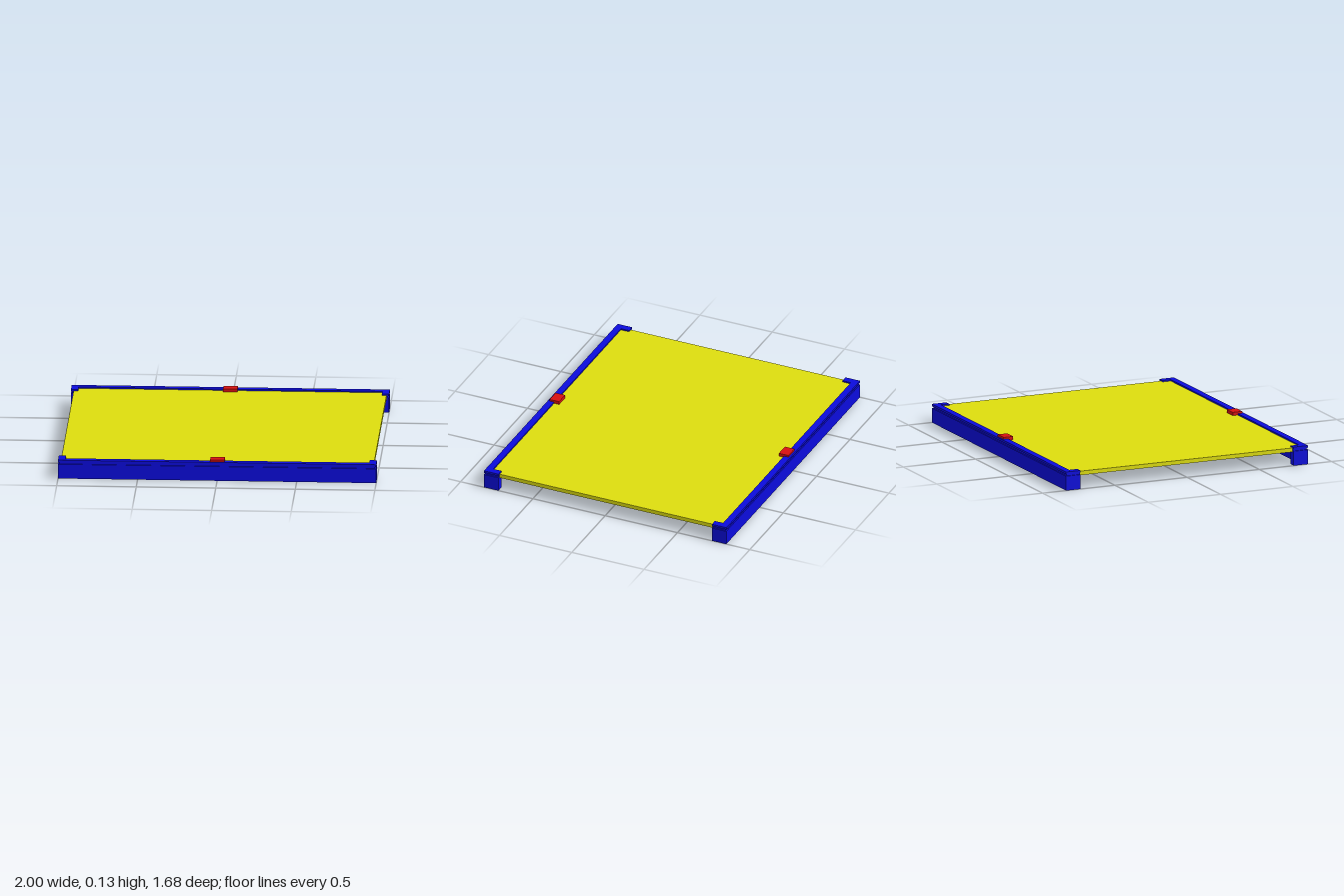
import * as THREE from 'three';

const blue = new THREE.MeshStandardMaterial({ color: 0x0b0bdc });
const yellow = new THREE.MeshStandardMaterial({ color: 0xdddd0e });
const red = new THREE.MeshStandardMaterial({ color: 0xd81010 });

function box(name, material, size, position) {
  const mesh = new THREE.Mesh(new THREE.BoxGeometry(...size), material);
  mesh.name = name;
  mesh.position.set(...position);
  return mesh;
}

// U-shaped footprint (bar with an inward tab at each end), extruded from y0 to y1
function railLayer(name, y0, y1, inset) {
  const x = 1 - inset, out = 0.838 - inset, bar = 0.795, tab = 0.738, tabX = 0.955;
  const outline = [[-x, out], [x, out], [x, tab], [tabX, tab], [tabX, bar], [-tabX, bar], [-tabX, tab], [-x, tab]];
  const shape = new THREE.Shape(outline.map(([px, pz]) => new THREE.Vector2(px, -pz)));
  const geometry = new THREE.ExtrudeGeometry(shape, { depth: y1 - y0, bevelEnabled: false });
  geometry.rotateX(-Math.PI / 2);
  const mesh = new THREE.Mesh(geometry, blue);
  mesh.name = name;
  mesh.position.y = y0;
  return mesh;
}

// Rail with a shallow groove around its outside, and a clip on top
function makeRail(name) {
  const rail = new THREE.Group();
  rail.name = name;
  rail.add(
    railLayer('railBase', 0, 0.093, 0),
    railLayer('railGroove', 0.093, 0.106, 0.008),
    railLayer('railLip', 0.106, 0.12, 0),
    box('clip', red, [0.09, 0.022, 0.066], [0, 0.121, 0.793])
  );
  return rail;
}

export function createModel() {
  const model = new THREE.Group();
  model.name = 'panelOnRails';

  // Flat panel held between the rails
  model.add(box('panel', yellow, [1.966, 0.026, 1.6], [0, 0.098, 0]));

  // Front and back rails
  const backRail = makeRail('backRail');
  backRail.rotation.y = Math.PI;
  model.add(makeRail('frontRail'), backRail);
  return model;
}
